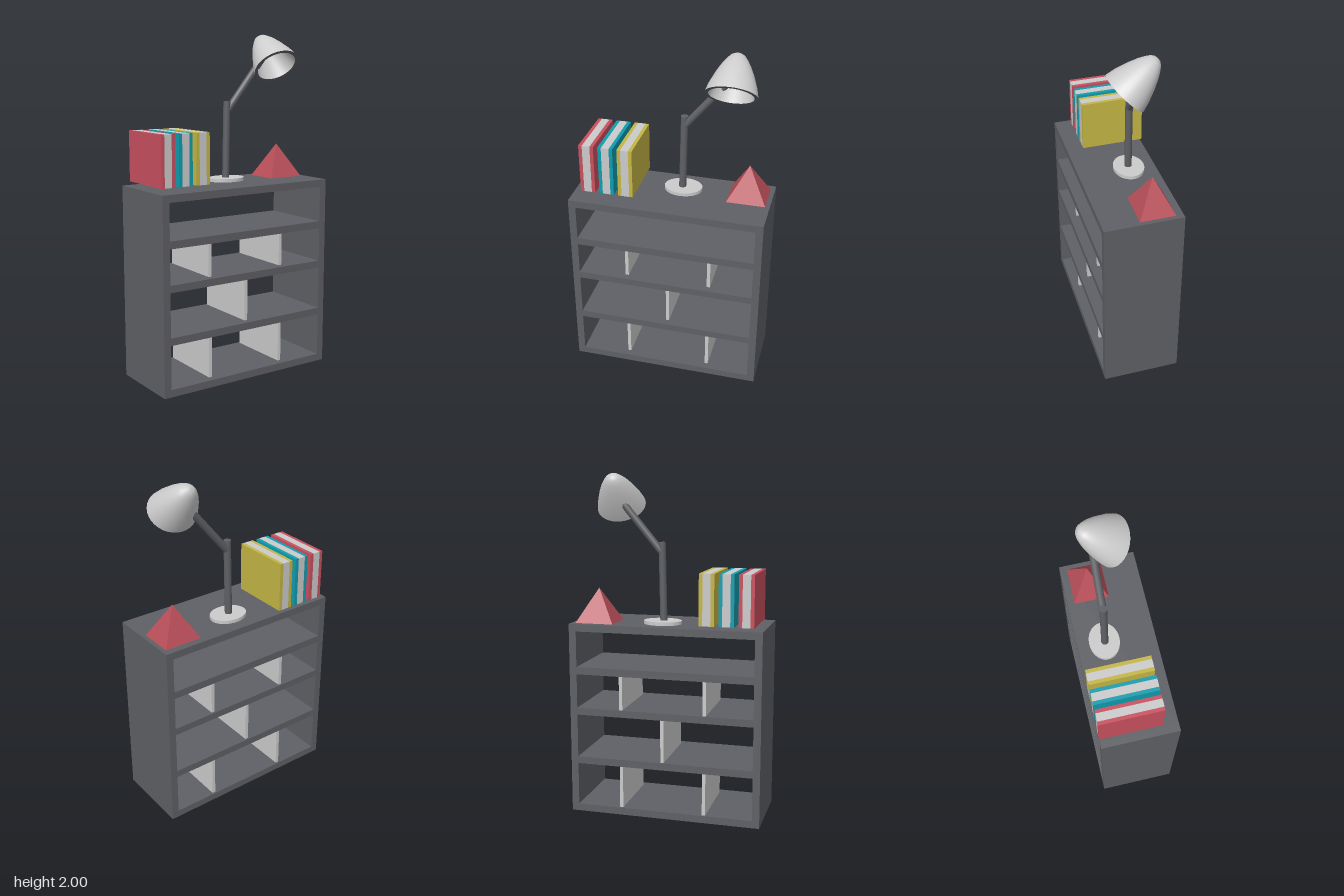
import * as THREE from 'three';

const mat = (color, extra = {}) => new THREE.MeshStandardMaterial({ color, ...extra });
const dark = mat(0x5f6065);
const grey = mat(0xcccccc);
const red = mat(0xc8505f);

function add(parent, name, geometry, material) {
  const mesh = new THREE.Mesh(geometry, material);
  mesh.name = name;
  parent.add(mesh);
  return mesh;
}

// Box given by its lower and upper limits on each axis
function box(parent, name, [x0, x1], [y0, y1], [z0, z1], material) {
  const mesh = add(parent, name, new THREE.BoxGeometry(x1 - x0, y1 - y0, z1 - z0), material);
  mesh.position.set((x0 + x1) / 2, (y0 + y1) / 2, (z0 + z1) / 2);
  return mesh;
}

// Round rod between two points
function rod(parent, name, from, to, radius, material) {
  const a = new THREE.Vector3(...from), b = new THREE.Vector3(...to);
  const dir = b.clone().sub(a);
  const mesh = add(parent, name, new THREE.CylinderGeometry(radius, radius, dir.length(), 24), material);
  mesh.position.copy(a).add(b).multiplyScalar(0.5);
  mesh.quaternion.setFromUnitVectors(new THREE.Vector3(0, 1, 0), dir.normalize());
  return mesh;
}

function makeBookcase() {
  const g = new THREE.Group();
  g.name = 'bookcase';
  const depth = [-0.228, 0.228];
  // Open frame: two sides and five boards
  box(g, 'leftSide', [0.527, 0.57], [0, 1.14], depth, dark);
  box(g, 'rightSide', [-0.57, -0.527], [0, 1.14], depth, dark);
  const boards = [[0, 0.043], [0.298, 0.341], [0.598, 0.64], [0.842, 0.886], [1.097, 1.14]];
  boards.forEach((y, i) => box(g, 'board' + i, [-0.527, 0.527], y, depth, dark));
  // Thin upright dividers, listed per compartment from the bottom
  const dividers = [[-0.24, 0.26], [0.01], [-0.24, 0.26]];
  dividers.forEach((xs, i) => xs.forEach((x) =>
    box(g, 'divider', [x - 0.01, x + 0.01], [boards[i][1], boards[i + 1][0]], [-0.218, 0.185], grey)));
  return g;
}

function makeBooks() {
  const g = new THREE.Group();
  g.name = 'books';
  const y = [1.16, 1.455], z = [-0.228, 0.135];
  [[-0.477, red], [-0.364, mat(0x109cae)], [-0.251, mat(0xc4b645)]].forEach(([x, cover]) => {
    box(g, 'bookCover', [x - 0.044, x - 0.023], y, z, cover);
    box(g, 'bookPages', [x - 0.023, x + 0.023], y, z, grey);
    box(g, 'bookCover', [x + 0.023, x + 0.044], y, z, cover);
  });
  return g;
}

function makePyramid() {
  // Four-sided cone turned square to the axes
  const geo = new THREE.ConeGeometry(Math.SQRT1_2, 1, 4).rotateY(Math.PI / 4).toNonIndexed();
  geo.scale(0.228, 0.2, 0.206);
  geo.computeVertexNormals();
  const mesh = new THREE.Mesh(geo, mat(0xb84e58, { flatShading: true }));
  mesh.name = 'pyramid';
  mesh.position.set(0.43, 1.24, -0.083);
  return mesh;
}

function makeLamp() {
  const g = new THREE.Group();
  g.name = 'lamp';
  // Oval foot
  const foot = add(g, 'foot', new THREE.CylinderGeometry(1, 1, 0.02, 48), grey);
  foot.scale.set(0.112, 1, 0.089);
  foot.position.set(0.044, 1.15, -0.07);
  // Post and slanted arm
  rod(g, 'post', [0.039, 1.155, -0.068], [0.048, 1.613, -0.068], 0.021, dark);
  rod(g, 'arm', [0.055, 1.56, -0.068], [0.322, 1.88, -0.068], 0.021, dark);

  // Hollow shade tilted forward and down
  const shade = new THREE.Group();
  shade.name = 'shade';
  const inner = [[0, 0.225], [0.022, 0.215], [0.045, 0.19], [0.072, 0.127], [0.098, 0.05], [0.11, 0]];
  const outer = [[0.128, 0], [0.115, 0.055], [0.092, 0.122], [0.07, 0.173], [0.052, 0.205],
    [0.036, 0.228], [0.019, 0.24], [0, 0.244]];
  const lathe = (pts) => new THREE.LatheGeometry(pts.map(([r, y]) => new THREE.Vector2(r, y)), 32);
  add(shade, 'shadeInside', lathe(inner), grey);
  add(shade, 'shadeOutside', lathe(outer), grey);
  add(shade, 'shadeRim', new THREE.RingGeometry(0.11, 0.128, 32).rotateX(Math.PI / 2), dark);
  shade.scale.x = 1.14;
  shade.rotation.x = -Math.PI / 4;
  shade.position.set(0.328, 1.815, 0.045);
  g.add(shade);
  return g;
}

export function createModel() {
  const model = new THREE.Group();
  model.name = 'bookcaseWithLamp';
  model.add(makeBookcase(), makeBooks(), makePyramid(), makeLamp());
  return model;
}
